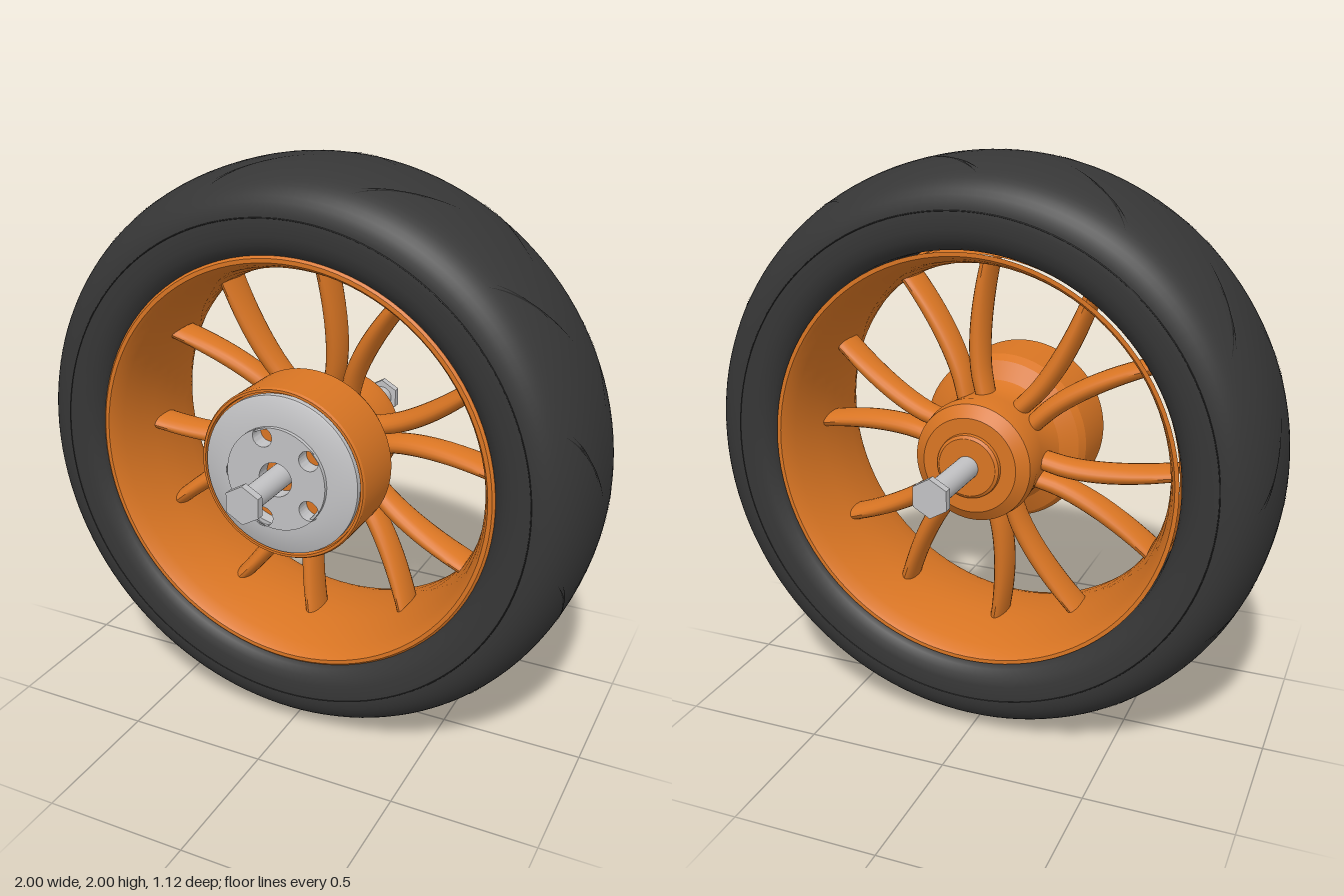
import * as THREE from 'three';
import { toCreasedNormals, mergeGeometries } from 'three/addons/utils/BufferGeometryUtils.js';

const mat = (name, color, extra = {}) => new THREE.MeshStandardMaterial({ name, color, ...extra });

// Solid of revolution about the z axis from [radius, z] points
function turned(points, segments = 96, crease = 0.5) {
  const g = new THREE.LatheGeometry(points.map(([r, z]) => new THREE.Vector2(r, z)), segments);
  return toCreasedNormals(g.rotateX(Math.PI / 2), crease);
}

// Radius of the tyre's rounded tread at a given z
const HALF = 0.305;
const treadRadius = z => 0.83 + 0.17 * Math.pow(Math.max(0, 1 - Math.pow(Math.abs(z) / HALF, 2.4)), 1 / 2.4);

function tyreGeometry() {
  const sidewall = [[0.715, 0.2], [0.72, 0.262], [0.735, 0.28], [0.76, 0.297], [0.79, 0.304]];
  const tread = [];
  for (let i = 0; i <= 32; i++) {
    const z = -HALF * Math.cos(Math.PI * i / 32);
    tread.push([treadRadius(z), z]);
  }
  return turned([
    ...sidewall.map(([r, z]) => [r, -z]), ...tread, ...sidewall.reverse(), [0.715, -0.2],
  ], 128, 0.8);
}

// One thin tapered cut lying on the tread
function slash(side, angle, z0, z1, sweep, width) {
  const g = new THREE.PlaneGeometry(1, 1, 12, 1), p = g.attributes.position;
  for (let i = 0; i < p.count; i++) {
    const t = p.getX(i) + 0.5;
    const z = side * (z0 + (z1 - z0) * t);
    const a = angle - sweep * (0.8 * t + 0.2 * t * t) + p.getY(i) * width * Math.sin(Math.PI * t);
    const r = treadRadius(z) + 0.002;
    p.setXYZ(i, r * Math.cos(a), r * Math.sin(a), z);
  }
  g.computeVertexNormals();
  return g;
}

// Oval spoke pointing up, bending away from its pair's centre line
function spokeGeometry(side) {
  const g = new THREE.CylinderGeometry(1, 1, 1, 20, 14), p = g.attributes.position;
  for (let i = 0; i < p.count; i++) {
    const t = p.getY(i) + 0.5;
    const y = 0.16 + 0.472 * t;
    const u = Math.max(0, (y - 0.25) / 0.4);
    const bend = side * (0.035 + 0.125 * Math.pow(u, 1.6));
    const halfWidth = 0.03 + 0.005 * Math.sin(Math.PI * t);
    const halfDepth = 0.05 + 0.02 * t;
    p.setXYZ(i, bend + p.getX(i) * halfWidth, y, p.getZ(i) * halfDepth - 0.06 * (1 - t));
  }
  return toCreasedNormals(g, 0.7);
}

export function createModel() {
  const rubber = mat('rubber', 0x363636);
  const cut = mat('treadCut', 0x262626, { side: THREE.DoubleSide });
  const orange = mat('orangeMetal', 0xd97523);
  const steel = mat('steel', 0xc2c2c4);

  const model = new THREE.Group();
  model.name = 'wheel';
  const wheel = new THREE.Group();
  wheel.name = 'wheelAssembly';
  wheel.position.y = 1;
  model.add(wheel);
  const add = (name, geometry, material, parent = wheel) => {
    const m = new THREE.Mesh(geometry, material);
    m.name = name;
    parent.add(m);
    return m;
  };

  // Tyre, its slanted tread cuts and the fine line on each sidewall
  add('tyre', tyreGeometry(), rubber);
  const cuts = [];
  for (let k = 0; k < 12; k++) {
    for (const [side, phase] of [[1, 17], [-1, 2]]) {
      const a = THREE.MathUtils.degToRad(phase + 30 * k);
      cuts.push(slash(side, a, 0.24, 0.04, 0.29, 0.012));
      cuts.push(slash(side, a - 0.01, 0.215, 0.1, 0.2, 0.01));
    }
  }
  add('treadCuts', mergeGeometries(cuts), cut);
  for (const s of [1, -1]) {
    const line = add('sidewallLine', new THREE.TorusGeometry(0.847, 0.002, 6, 128), cut);
    line.position.z = s * 0.3045;
  }

  // Rim barrel: lips at both edges, narrowest in the middle
  const outer = [[0.7, 0], [0.7, 0.2], [0.722, 0.235], [0.724, 0.268]];
  const inner = [[0.716, 0.276], [0.702, 0.276], [0.692, 0.262], [0.676, 0.22], [0.66, 0.15], [0.649, 0.07], [0.645, 0]];
  const flip = list => list.map(([r, z]) => [r, -z]).reverse();
  add('rim', turned([...flip(outer), ...outer, ...inner, ...flip(inner)]), orange);

  // Six mirrored pairs of curved spokes
  const spokes = new THREE.Group();
  spokes.name = 'spokes';
  wheel.add(spokes);
  for (const side of [1, -1]) {
    const g = spokeGeometry(side);
    for (let k = 0; k < 6; k++) {
      add('spoke', g, orange, spokes).rotation.z = THREE.MathUtils.degToRad(-15 + 60 * k);
    }
  }

  // Hub: stepped rear cap, waist and wide front drum
  add('hub', turned([
    [0, -0.265], [0.1, -0.265], [0.11, -0.258], [0.112, -0.245], [0.165, -0.245], [0.205, -0.215],
    [0.212, -0.17], [0.205, -0.1], [0.205, -0.02], [0.225, 0.02], [0.285, 0.055], [0.302, 0.085],
    [0.302, 0.295], [0.297, 0.303], [0.288, 0.303], [0.286, 0.285], [0, 0.285],
  ]), orange);

  // Bevelled front cover
  add('frontCover', turned([
    [0.17, 0.28], [0.279, 0.28], [0.279, 0.306], [0.272, 0.31], [0.2, 0.326], [0.17, 0.328], [0.17, 0.28],
  ]), steel);

  // Raised plate with five bolt holes and an axle bore
  const plate = new THREE.Shape().absarc(0, 0, 0.18, 0, Math.PI * 2);
  const hole = (x, y, r) => plate.holes.push(new THREE.Path().absarc(x, y, r, 0, Math.PI * 2, true));
  hole(0, 0, 0.06);
  for (let k = 0; k < 5; k++) {
    const a = Math.PI + k * Math.PI * 2 / 5;
    hole(0.15 * Math.cos(a), 0.15 * Math.sin(a), 0.035);
  }
  const plateGeo = new THREE.ExtrudeGeometry(plate, { depth: 0.055, bevelEnabled: false, curveSegments: 32 });
  add('boltPlate', toCreasedNormals(plateGeo.translate(0, 0, 0.287), 0.5), steel);

  // Axle with a hexagonal head at each end
  add('axle', new THREE.CylinderGeometry(0.04, 0.04, 1.08, 32).rotateX(Math.PI / 2), steel);
  for (const s of [1, -1]) {
    const head = new THREE.CylinderGeometry(0.066, 0.066, 0.028, 6).rotateX(Math.PI / 2);
    add('axleHead', toCreasedNormals(head, 0.3), steel).position.z = s * 0.547;
  }
  return model;
}
